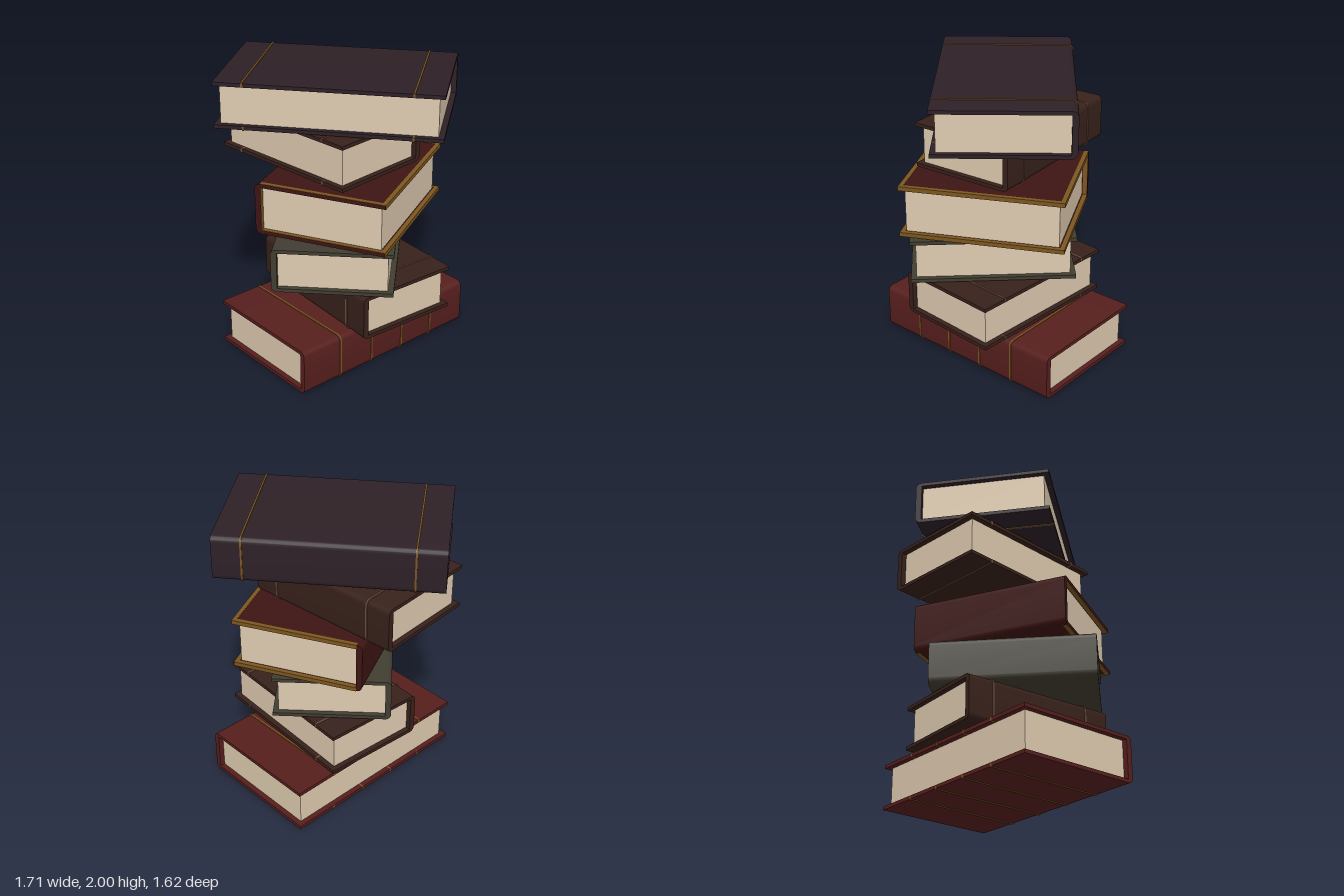
import * as THREE from 'three';
import { toCreasedNormals } from 'three/addons/utils/BufferGeometryUtils.js';

const BOARD = 0.025;   // cover board thickness
const SPINE = 0.04;    // spine thickness
const ROUND = 0.038;   // rounding of the spine edges
const LIP = 0.037;     // how far the covers overhang the pages
const PAPER = 0xdfcbb0;
const GOLD = 0x7c561f;
const TAN = 0x6e5040;

const material = (color) => new THREE.MeshStandardMaterial({ color });

function addBox(group, name, size, position, color) {
  const mesh = new THREE.Mesh(new THREE.BoxGeometry(...size), material(color));
  mesh.position.set(...position);
  mesh.name = name;
  group.add(mesh);
}

// C-shaped case section (spine at -x), extruded along z; grow thickens the outside
function caseGeometry(w, h, depth, grow) {
  const x0 = -w / 2 - grow, x1 = w / 2 + grow * 0.3;
  const y = h / 2 + grow, yi = h / 2 - BOARD, xi = -w / 2 + SPINE, r = ROUND;
  const s = new THREE.Shape();
  s.moveTo(x1, -y);
  s.lineTo(x1, -yi);
  s.lineTo(xi, -yi);
  s.lineTo(xi, yi);
  s.lineTo(x1, yi);
  s.lineTo(x1, y);
  s.lineTo(x0 + r, y);
  s.absarc(x0 + r, y - r, r, Math.PI / 2, Math.PI, false);
  s.lineTo(x0, -y + r);
  s.absarc(x0 + r, -y + r, r, Math.PI, Math.PI * 1.5, false);
  const geo = new THREE.ExtrudeGeometry(s, { depth, bevelEnabled: false, curveSegments: 5 });
  geo.translate(0, 0, -depth / 2);
  return toCreasedNormals(geo, 0.6);
}

function makeBook({ name, w, l, y0, y1, at, fore, color, bands = [], bandColor = GOLD, trim = false }) {
  const g = new THREE.Group();
  g.name = name;
  const h = y1 - y0;

  const cover = new THREE.Mesh(caseGeometry(w, h, l, 0), material(color));
  cover.name = 'cover';
  g.add(cover);

  // page block between the boards
  addBox(g, 'pages', [w - SPINE - LIP + 0.01, h - 2 * BOARD + 0.002, l - 2 * LIP],
    [(SPINE - LIP - 0.01) / 2, 0, 0], PAPER);

  // thin bands wrapped around the case
  for (const z of bands) {
    const band = new THREE.Mesh(caseGeometry(w, h, 0.012, 0.005), material(bandColor));
    band.position.z = z;
    band.name = 'band';
    g.add(band);
  }

  // gilded border along the board edges
  if (trim) {
    const t = BOARD + 0.004, b = 0.03;
    for (const side of [-1, 1]) {
      const y = side * (h / 2 - BOARD / 2);
      addBox(g, 'foreEdgeTrim', [b, t, l - 0.004], [w / 2 - b / 2 + 0.002, y, 0], GOLD);
      addBox(g, 'backEndTrim', [w - ROUND, t, b], [ROUND / 2, y, -l / 2 + b / 2 - 0.002], GOLD);
      addBox(g, 'frontEndTrim', [w - ROUND, t, b], [ROUND / 2, y, l / 2 - b / 2 - 0.002], GOLD);
      addBox(g, 'spineLining', [0.004, h - 2 * BOARD, b],
        [-w / 2 + SPINE, 0, side * (l / 2 - b / 2 - 0.002)], GOLD);
    }
  }

  // "fore" is the ground direction (x, z) from the spine to the fore-edge
  g.rotation.y = Math.atan2(-fore[1], fore[0]);
  g.position.set(at[0], (y0 + y1) / 2, at[1]);
  return g;
}

const BOOKS = [
  { name: 'bottomBook', w: 0.9, l: 1.458, y0: 0.005, y1: 0.323, at: [0.025, 0],
    fore: [-0.974, -0.228], color: 0x561f1d, bands: [-0.417, -0.139, 0.139, 0.417] },
  { name: 'secondBook', w: 0.737, l: 1.133, y0: 0.345, y1: 0.655, at: [0.1, -0.03],
    fore: [0.287, -0.958], color: 0x38211b, bands: [-0.381, 0.381], bandColor: TAN },
  { name: 'thirdBook', w: 0.793, l: 1.1, y0: 0.665, y1: 0.97, at: [0.065, 0.095],
    fore: [0.863, -0.505], color: 0x413d31 },
  { name: 'fourthBook', w: 0.895, l: 1.096, y0: 0.99, y1: 1.345, at: [0.105, 0.028],
    fore: [0.972, -0.237], color: 0x3d1513, trim: true },
  { name: 'fifthBook', w: 0.737, l: 1.131, y0: 1.365, y1: 1.675, at: [-0.14, 0.045],
    fore: [-0.141, 0.99], color: 0x38211b, bands: [-0.385, 0.385], bandColor: TAN },
  { name: 'topBook', w: 0.9, l: 1.462, y0: 1.685, y1: 1.993, at: [0, 0.013],
    fore: [0.437, 0.899], color: 0x2d2026, bands: [-0.541, 0.541] },
];

export function createModel() {
  const model = new THREE.Group();
  model.name = 'bookStack';
  for (const book of BOOKS) model.add(makeBook(book));
  return model;
}
